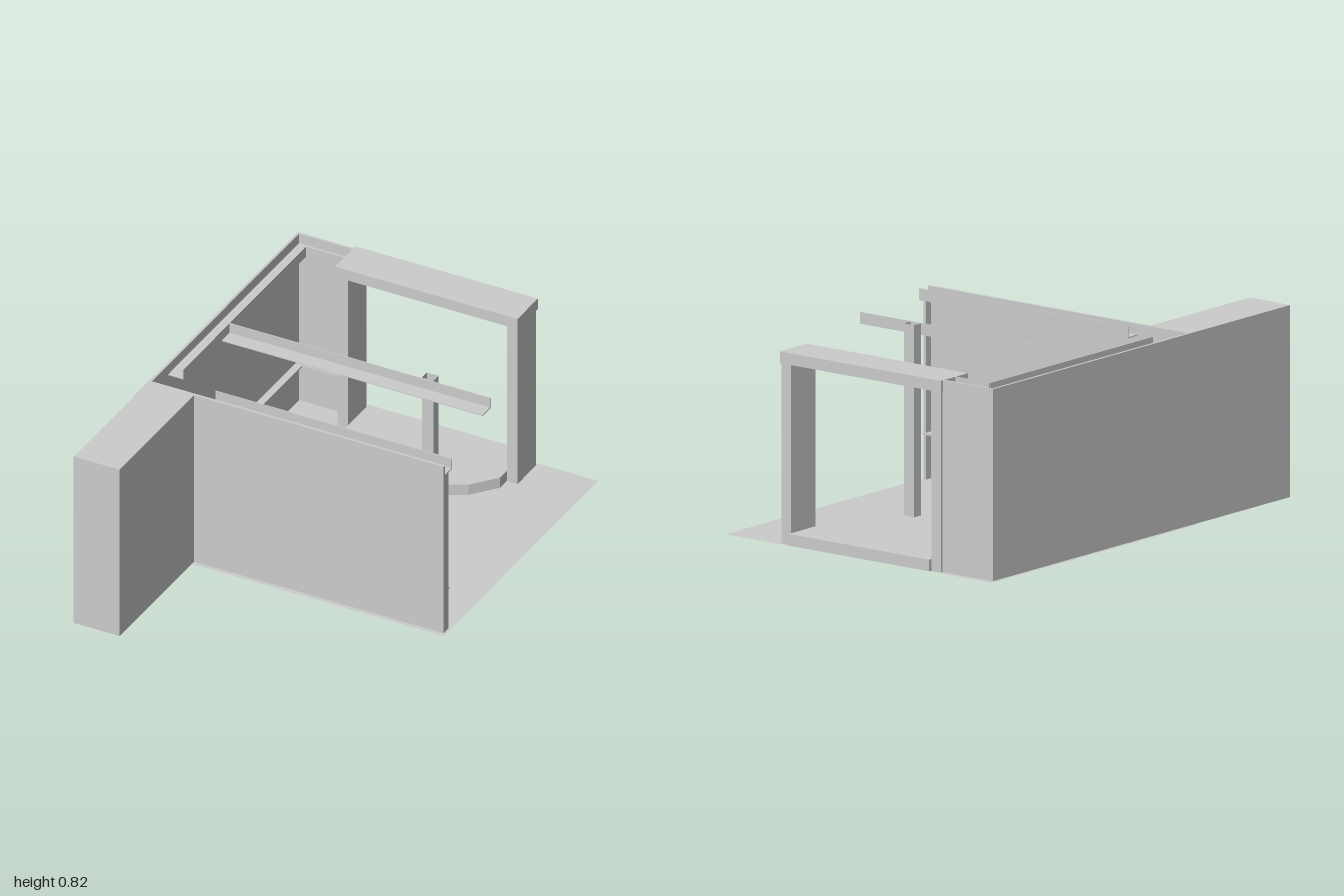
import * as THREE from 'three';

const mat = new THREE.MeshStandardMaterial({ color: 0xcccccc, flatShading: true, side: THREE.DoubleSide });

export function createModel() {
  const model = new THREE.Group();

  const add = (name, geometry, parent = model) => {
    const mesh = new THREE.Mesh(geometry, mat);
    mesh.name = name;
    parent.add(mesh);
    return mesh;
  };

  // Block given by its limits on each axis
  const block = (name, [x0, x1], [y0, y1], [z0, z1], parent) => {
    const g = new THREE.BoxGeometry(x1 - x0, y1 - y0, z1 - z0);
    g.translate((x0 + x1) / 2, (y0 + y1) / 2, (z0 + z1) / 2);
    return add(name, g, parent);
  };

  const H = 0.82, RAIL = 0.77, T = 0.004;

  // Floor sheet
  const floor = new THREE.PlaneGeometry(1.42, 1.365);
  floor.rotateX(-Math.PI / 2).translate(0, 0, -0.3175);
  add('floor', floor);

  // Thin walls
  block('sideWall', [-0.695, -0.683], [0, H], [-0.975, 0.345]);
  block('backWall', [-0.695, -0.41], [0, H], [-0.975, -0.965]);
  block('frontWall', [-0.695, 0.7], [0, H], [0.332, 0.345]);
  block('frontWallEndPost', [0.685, 0.699], [0, RAIL], [0.3, 0.332]);

  // Projecting front wing: hollow, open underneath
  const wing = new THREE.Group();
  wing.name = 'frontWing';
  model.add(wing);
  block('wingTop', [-0.695, -0.478], [H - T, H], [0.345, 1], wing);
  block('wingFront', [-0.695, -0.478], [0, H], [1 - T, 1], wing);
  block('wingOuterSide', [-0.695, -0.695 + T], [0, H], [0.345, 1], wing);
  block('wingInnerSide', [-0.478 - T, -0.478], [0, H], [0.345, 1], wing);

  // Angle rails at the wall tops: a flat shelf with an upright lip
  const rail = (name, xs, zs, lipX, lipZ) => {
    const g = new THREE.Group();
    g.name = name;
    model.add(g);
    block('shelf', xs, [RAIL, RAIL + T], zs, g);
    block('lip', lipX, [RAIL, H], lipZ, g);
  };
  rail('sideRail', [-0.69, -0.61], [-0.97, 0.19], [-0.61 - T, -0.61], [-0.89, 0.19]);
  rail('backRail', [-0.69, -0.43], [-0.97, -0.89], [-0.61, -0.43], [-0.89 - T, -0.89]);
  rail('crossBeam', [-0.61, 0.62], [-0.22, -0.148], [-0.61, 0.62], [-0.22, -0.22 + T]);
  rail('frontRail', [-0.415, 0.7], [0.27, 0.345], [-0.415, 0.7], [0.27, 0.27 + T]);

  // Low ledge around the inside of the walls
  const low = [0.192, 0.2];
  block('lowSideLedge', [-0.69, -0.65], low, [-0.97, 0.335]);
  block('lowBackLedge', [-0.69, -0.42], low, [-0.97, -0.93]);
  block('lowFrontLedge', [-0.69, 0.699], low, [0.292, 0.335]);

  // Hollow square post beside the cross beam
  const post = new THREE.CylinderGeometry(Math.SQRT1_2, Math.SQRT1_2, H, 4, 1, true);
  post.rotateY(Math.PI / 4).scale(0.055, 1, 0.044).translate(0.32, H / 2, -0.246);
  add('post', post);

  // Door frame
  for (const side of [-1, 1]) {
    const x = [side * 0.375, side * 0.425].sort((a, b) => a - b);
    block(side > 0 ? 'leftJamb' : 'rightJamb', x, [0, RAIL], [-0.985, -0.82]);
  }
  block('lintel', [-0.43, 0.43], [RAIL, H], [-0.99, -0.81]);

  // Rounded doorstep with a faceted front
  const step = new THREE.Shape();
  [[-0.375, 1], [-0.375, 0.76], [-0.285, 0.65], [-0.15, 0.58], [0, 0.555],
    [0.155, 0.58], [0.285, 0.65], [0.375, 0.76], [0.375, 1]]
    .forEach(([x, y], i) => (i ? step.lineTo(x, y) : step.moveTo(x, y)));
  const stepGeo = new THREE.ExtrudeGeometry(step, { depth: 0.05, bevelEnabled: false });
  stepGeo.rotateX(-Math.PI / 2);
  add('doorstep', stepGeo);

  return model;
}
